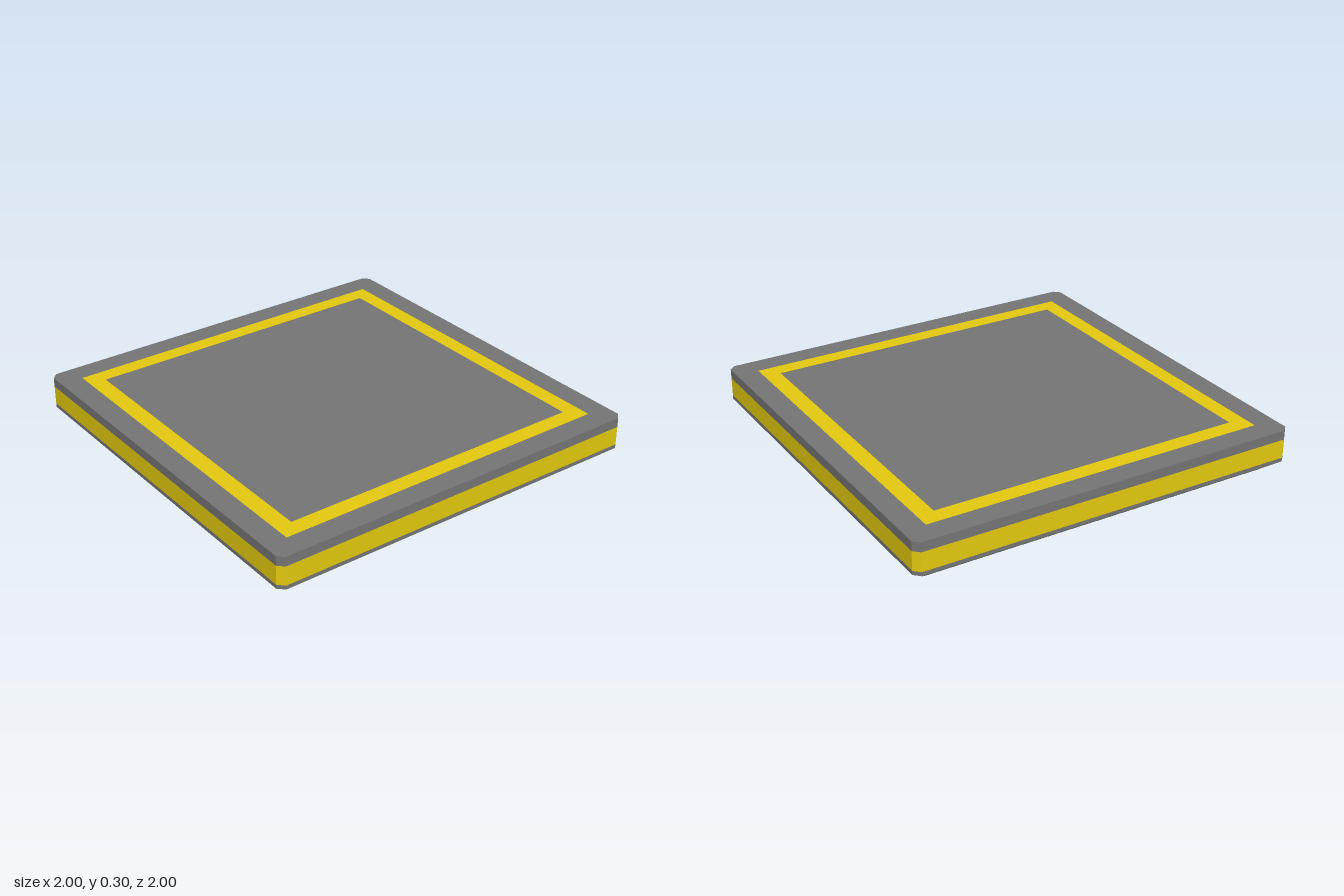
import * as THREE from 'three';

const material = (color) => new THREE.MeshStandardMaterial({ color, flatShading: true });

// Square outline of half-width h at height y, with corners cut by c
function outline([h, y, c = 0]) {
  const k = h - c;
  return [[-k, h], [k, h], [h, k], [h, -k], [k, -h], [-k, -h], [-h, -k], [-h, k]]
    .map(([x, z]) => new THREE.Vector3(x, y, z));
}

// Surface running through successive outlines, lowest or innermost underside first
function band(name, mat, ...sections) {
  const points = [];
  const addTriangle = (a, b, c) => {
    const area = b.clone().sub(a).cross(c.clone().sub(a)).length();
    if (area > 1e-7) points.push(a, b, c);
  };
  const rings = sections.map(outline);
  for (let r = 0; r + 1 < rings.length; r++) {
    for (let i = 0; i < 8; i++) {
      const j = (i + 1) % 8;
      const [low, high] = [rings[r], rings[r + 1]];
      addTriangle(low[i], low[j], high[j]);
      addTriangle(low[i], high[j], high[i]);
    }
  }
  const geometry = new THREE.BufferGeometry().setFromPoints(points);
  geometry.computeVertexNormals();
  const mesh = new THREE.Mesh(geometry, mat);
  mesh.name = name;
  return mesh;
}

export function createModel() {
  const group = new THREE.Group();
  group.name = 'floatingPlatform';
  const grey = material(0x747474);
  const yellow = material(0xe2c80e);
  const black = material(0x2c2c2c);
  const cut = 0.03;

  group.add(
    // Underside, from the centre outwards
    band('bottomPanel', black, [0, 0], [0.56, 0]),
    band('bottomRim', grey, [0.56, 0], [0.64, 0], [0.69, 0.025]),
    band('undersideStripe', yellow, [0.69, 0.025], [0.79, 0.042]),
    band('undersideSlope', grey, [0.79, 0.042], [0.9, 0.06], [1, 0.135, cut]),
    // Sides
    band('lowerEdge', grey, [1, 0.135, cut], [1, 0.155, cut]),
    band('sideStripe', yellow, [1, 0.155, cut], [1, 0.252, cut]),
    // Top, from the edge inwards
    band('topBorder', grey, [1, 0.252, cut], [1, 0.3, cut], [0.885, 0.3]),
    band('topStripe', yellow, [0.885, 0.3], [0.8, 0.3]),
    band('topPanel', grey, [0.8, 0.3], [0, 0.3]),
  );
  return group;
}
